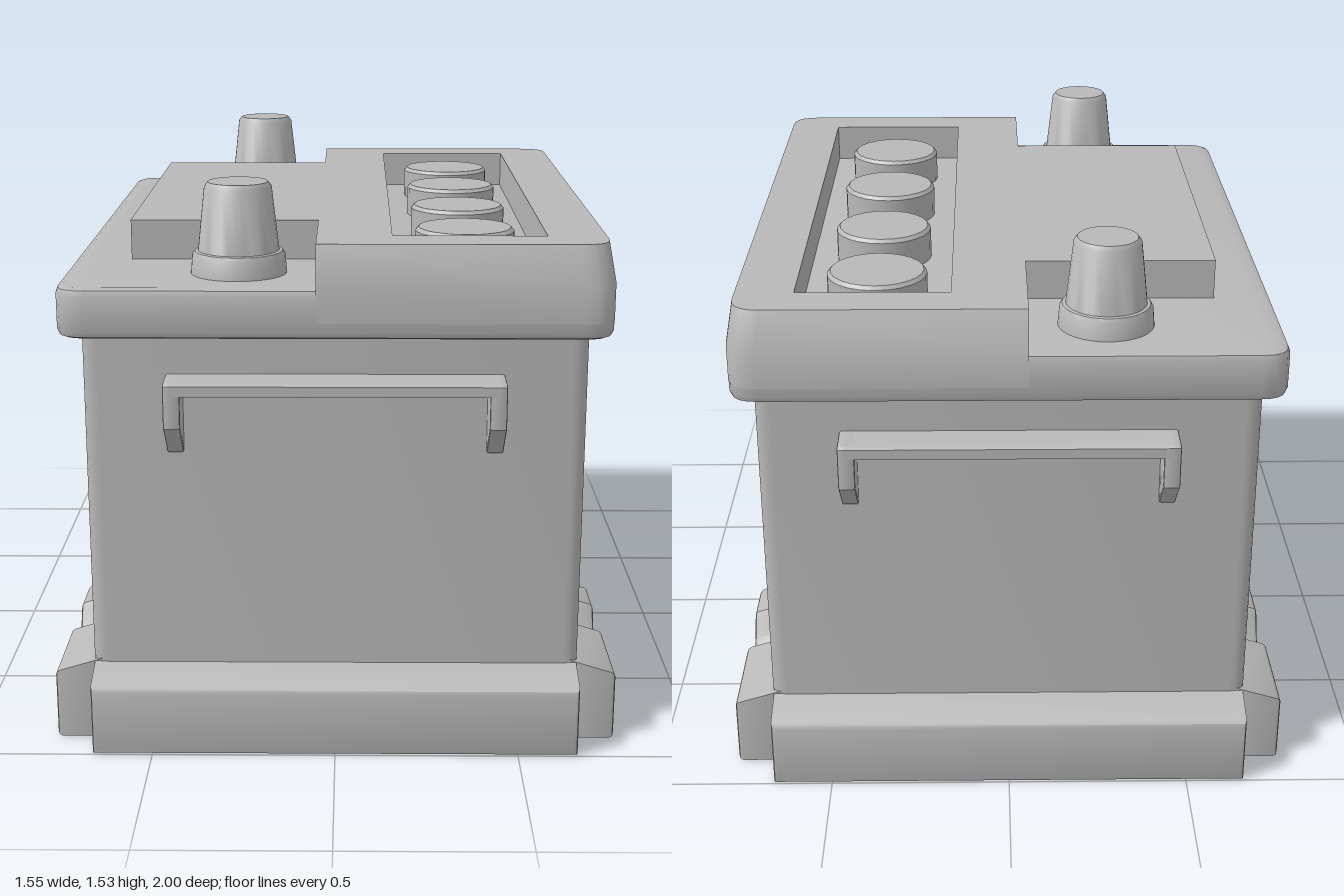
import * as THREE from 'three';
import { toCreasedNormals } from 'three/addons/utils/BufferGeometryUtils.js';

const CREASE = 0.6;

function roundedRect(w, d, r) {
  const s = new THREE.Shape();
  s.moveTo(-w + r, -d);
  s.lineTo(w - r, -d).quadraticCurveTo(w, -d, w, -d + r);
  s.lineTo(w, d - r).quadraticCurveTo(w, d, w - r, d);
  s.lineTo(-w + r, d).quadraticCurveTo(-w, d, -w, d - r);
  s.lineTo(-w, -d + r).quadraticCurveTo(-w, -d, -w + r, -d);
  return s;
}

// Extrude along z from z0 to z1, the bevel staying inside the outline
function extrude(shape, z0, z1, bevel = 0, steps = 1) {
  const g = new THREE.ExtrudeGeometry(shape, {
    depth: z1 - z0 - 2 * bevel, steps, curveSegments: 5,
    bevelEnabled: bevel > 0, bevelSize: bevel, bevelThickness: bevel,
    bevelOffset: -bevel, bevelSegments: 2,
  });
  return g.translate(0, 0, z0 + bevel);
}

// Horizontal slab between two heights
const slab = (shape, y0, y1, bevel, steps) => extrude(shape, y0, y1, bevel, steps).rotateX(-Math.PI / 2);

function moveVertices(g, rule) {
  const p = g.attributes.position;
  const v = new THREE.Vector3();
  for (let i = 0; i < p.count; i++) {
    rule(v.fromBufferAttribute(p, i));
    p.setXYZ(i, v.x, v.y, v.z);
  }
  g.computeVertexNormals();
  return g;
}

// Foot ledge facing +z with a sloping top and optional scallops
function ledgeGeometry(half, wall, outer, notches) {
  const top = 0.235;
  const s = new THREE.Shape();
  s.moveTo(-half, 0);
  s.lineTo(half, 0);
  s.lineTo(half, top);
  for (const c of notches) {
    for (const [u, y] of [[0.1, top], [0.085, 0.215], [0.06, 0.165], [0.035, 0.145],
      [0, 0.14], [-0.035, 0.145], [-0.06, 0.165], [-0.085, 0.215], [-0.1, top]]) s.lineTo(c + u, y);
  }
  s.lineTo(-half, top);
  return moveVertices(extrude(s, wall - 0.04, outer, 0.012), (v) => {
    if (v.y > 0.05 && v.z > wall) v.y -= 0.4 * (v.z - wall);
  });
}

export function createModel() {
  const battery = new THREE.Group();
  battery.name = 'carBattery';
  const grey = new THREE.MeshStandardMaterial({ color: 0xb8b8b8 });
  grey.name = 'plastic grey';

  function add(parent, name, geometry, x = 0, y = 0, z = 0) {
    const m = new THREE.Mesh(toCreasedNormals(geometry, CREASE), grey);
    m.name = name;
    m.position.set(x, y, z);
    parent.add(m);
    return m;
  }

  // Case and lid rim
  add(battery, 'case', slab(roundedRect(0.67, 0.89, 0.045), 0, 1.17));
  add(battery, 'lidRim', slab(roundedRect(0.73, 0.95, 0.08), 1.155, 1.29, 0.02));

  // Raised lid: T-shaped outline with a sunken filler channel
  const W = 0.731, D = 0.951, r = 0.08;
  const raised = new THREE.Shape();
  raised.moveTo(-0.05, -D);
  raised.lineTo(W - r, -D).quadraticCurveTo(W, -D, W, -D + r);
  raised.lineTo(W, D - r).quadraticCurveTo(W, D, W - r, D);
  for (const [x, z] of [[-0.05, D], [-0.05, 0.553], [-0.57, 0.553], [-0.57, -0.553], [-0.05, -0.553]]) raised.lineTo(x, z);
  const channel = new THREE.Path();
  channel.moveTo(0.15, -0.783);
  for (const [x, z] of [[0.15, 0.783], [0.56, 0.783], [0.56, -0.783]]) channel.lineTo(x, z);
  channel.closePath();
  raised.holes.push(channel);
  const lidTop = moveVertices(slab(raised, 1.2, 1.4, 0, 2), (v) => {
    if (v.y < 1.35) return;
    if (Math.abs(v.z) > 0.86) v.z -= Math.sign(v.z) * 0.045;
    if (v.x > 0.64) v.x -= 0.015;
  });
  add(battery, 'raisedLid', lidTop);

  // Filler caps
  const capProfile = [[0.137, 1.28], [0.137, 1.375], [0.128, 1.385], [0, 1.385]].map((p) => new THREE.Vector2(...p));
  for (const z of [-0.57, -0.2, 0.19, 0.56]) {
    add(battery, 'fillerCap', new THREE.LatheGeometry(capProfile, 24), 0.355, 0, z);
  }

  // Terminal posts
  const postProfile = [[0.13, 1.28], [0.125, 1.34], [0.118, 1.35], [0.109, 1.352], [0.09, 1.522], [0.08, 1.535], [0, 1.535]]
    .map((p) => new THREE.Vector2(...p));
  for (const z of [-0.735, 0.725]) {
    add(battery, 'terminalPost', new THREE.LatheGeometry(postProfile, 32), -0.26, 0, z);
  }

  // Foot ledges: plain at the ends, scalloped along the sides
  const scallops = [0.5, 0.167, -0.167, -0.5];
  for (const turn of [0, Math.PI]) {
    add(battery, 'endLedge', ledgeGeometry(0.664, 0.89, 1.0, [])).rotation.y = turn;
    add(battery, 'sideLedge', ledgeGeometry(0.888, 0.67, 0.776, scallops)).rotation.y = turn + Math.PI / 2;
  }

  // Carry handles: a bar between two tapered legs
  const leg = new THREE.Shape();
  leg.moveTo(0.88, 0.835);
  for (const [z, y] of [[0.895, 0.835], [0.985, 0.925], [0.985, 1.04], [0.975, 1.047], [0.88, 1.05]]) leg.lineTo(z, y);
  const bar = new THREE.Shape();
  bar.moveTo(0.88, 1.008);
  for (const [z, y] of [[0.985, 1.012], [0.985, 1.04], [0.975, 1.047], [0.88, 1.05]]) bar.lineTo(z, y);
  const acrossX = (shape, x0, x1, bevel) => extrude(shape, -x1, -x0, bevel).rotateY(-Math.PI / 2);
  for (const turn of [0, Math.PI]) {
    const handle = new THREE.Group();
    handle.name = 'carryHandle';
    handle.rotation.y = turn;
    add(handle, 'handleBar', acrossX(bar, -0.43, 0.43, 0));
    for (const x of [-0.448, 0.403]) add(handle, 'handleLeg', acrossX(leg, x, x + 0.045, 0.006));
    battery.add(handle);
  }
  return battery;
}
